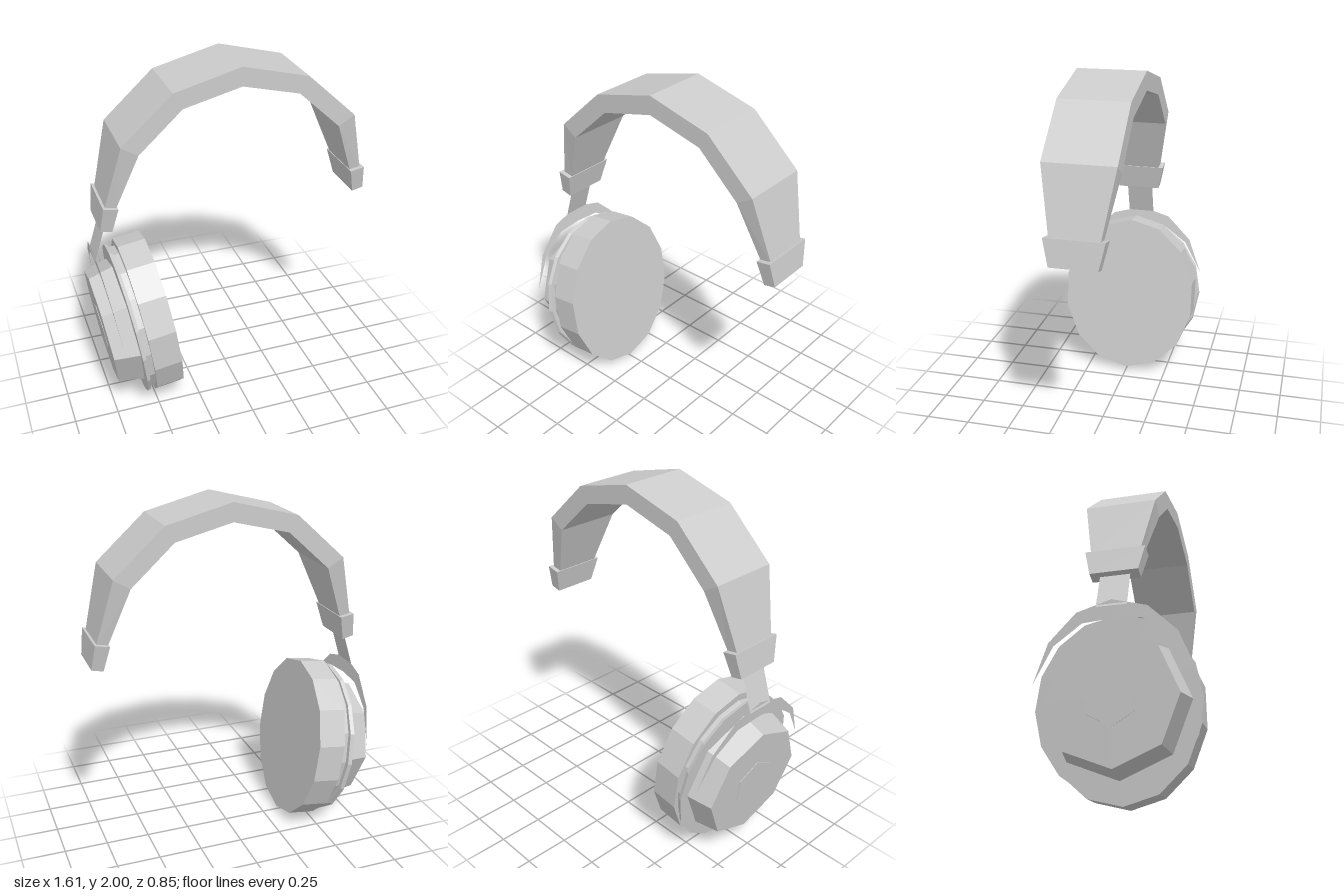
import * as THREE from 'three';

const material = new THREE.MeshStandardMaterial({ color: 0xcccccc, flatShading: true });
const sheetMaterial = new THREE.MeshStandardMaterial({ color: 0xcccccc, flatShading: true, side: THREE.DoubleSide });

function addMesh(parent, name, geometry, mat = material) {
  const mesh = new THREE.Mesh(geometry, mat);
  mesh.name = name;
  parent.add(mesh);
  return mesh;
}

// Extrude an outline along z, with a half width that depends on height
function slab(points, halfWidth) {
  const shape = new THREE.Shape(points.map(([x, y]) => new THREE.Vector2(x, y)));
  const geometry = new THREE.ExtrudeGeometry(shape, { depth: 2, bevelEnabled: false });
  geometry.translate(0, 0, -1);
  const p = geometry.attributes.position;
  for (let i = 0; i < p.count; i++) p.setZ(i, p.getZ(i) * halfWidth(p.getY(i)));
  geometry.computeVertexNormals();
  return geometry;
}

// Elliptical disc along the cup axis; outward is -x, radii are [y, z]
function disc(outerScale, innerScale, from, to, sides, ry, rz) {
  const geometry = new THREE.CylinderGeometry(outerScale, innerScale, to - from, sides, 1, false, Math.PI / 2);
  geometry.rotateZ(Math.PI / 2);
  geometry.scale(1, ry, rz);
  geometry.translate(-(from + to) / 2, 0, 0);
  return geometry;
}

// Crescent that tapers from a wide top to pointed tips
function crescent() {
  const outer = [], inner = [];
  for (let i = -3; i <= 3; i++) {
    const a = (i * Math.PI * 2) / 14;
    const width = 0.1 * (1 - Math.abs(i) / 3);
    outer.push(new THREE.Vector2(Math.sin(a) * 0.42, Math.cos(a) * 0.52));
    if (Math.abs(i) < 3) inner.unshift(new THREE.Vector2(Math.sin(a) * (0.42 - width), Math.cos(a) * (0.52 - width)));
  }
  const geometry = new THREE.ShapeGeometry(new THREE.Shape([...outer, ...inner]));
  geometry.rotateY(Math.PI / 2);
  return geometry;
}

export function createModel() {
  const model = new THREE.Group();
  model.name = 'headphones';

  // Headband arch, narrowing towards its ends
  const frame = new THREE.Group();
  frame.name = 'headbandFrame';
  frame.position.x = 0.03;
  model.add(frame);
  const outer = [[0.745, 1.28], [0.65, 1.65], [0.37, 1.905]];
  const inner = [[0.32, 1.815], [0.56, 1.595], [0.685, 1.27]];
  const mirror = (list) => list.map(([x, y]) => [-x, y]).reverse();
  const arch = [...outer, [0, 2], ...mirror(outer), ...mirror(inner), [0, 1.895], ...inner];
  addMesh(frame, 'headband', slab(arch, (y) => (y < 1.4 ? 0.13 : 0.193)));

  // End caps of the band
  for (const [name, s] of [['leftEndCap', 1], ['rightEndCap', -1]]) {
    const cap = [[0.675, 1.285], [0.755, 1.3], [0.775, 1.155], [0.71, 1.14]].map(([x, y]) => [s * x, y]);
    addMesh(frame, name, slab(cap, (y) => (y > 1.2 ? 0.16 : 0.128)));
  }

  // Thin stem between the right cap and the yoke
  const stem = new THREE.PlaneGeometry(0.16, 0.24);
  stem.rotateY(Math.PI / 2);
  const stemMesh = addMesh(model, 'stem', stem, sheetMaterial);
  stemMesh.position.set(-0.742, 1.055, 0);
  stemMesh.rotation.z = -0.3;

  // Ear cup, tilted; its local origin is the centre of the inner face
  const cup = new THREE.Group();
  cup.name = 'earCup';
  cup.position.set(-0.407, 0.5025, 0);
  cup.rotation.z = 0.14;
  model.add(cup);
  addMesh(cup, 'cushion', disc(1, 1, 0, 0.16, 14, 0.487, 0.413));
  addMesh(cup, 'neck', disc(0.95, 0.95, 0.15, 0.205, 16, 0.465, 0.41));
  addMesh(cup, 'backPlate', disc(1, 0.98, 0.195, 0.215, 16, 0.463, 0.425));
  addMesh(cup, 'shell', disc(0.338, 0.372, 0.215, 0.359, 8, 1, 1));
  addMesh(cup, 'shellBadge', disc(0.14, 0.14, 0.35, 0.362, 6, 1, 1));

  // Flat yoke around the shell
  addMesh(cup, 'yoke', crescent(), sheetMaterial).position.x = -0.3;

  return model;
}
